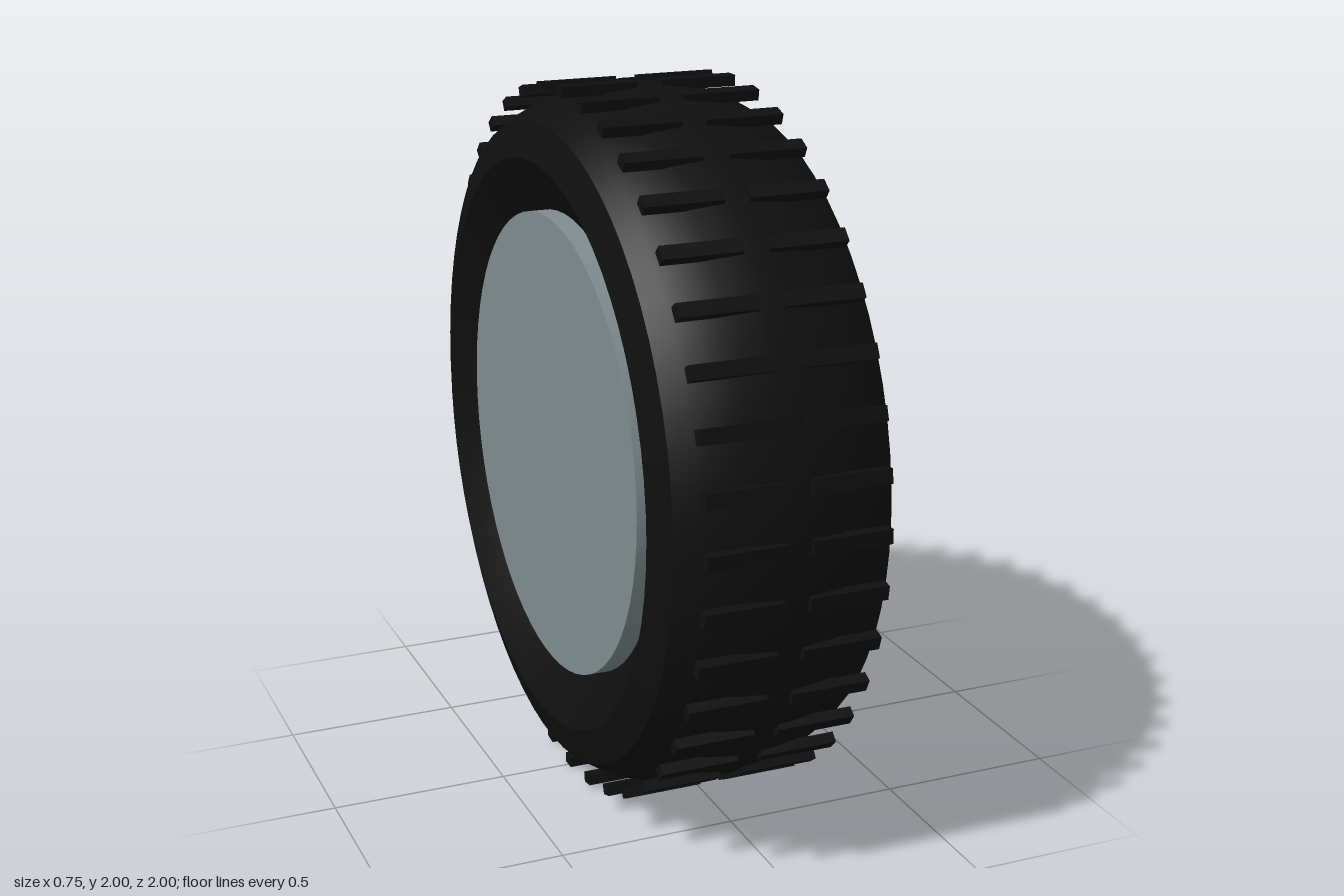
import * as THREE from 'three';
import { toCreasedNormals } from 'three/addons/utils/BufferGeometryUtils.js';

const MID = -0.045; // tyre centre plane along the axle (x)

const paint = (color) => new THREE.MeshStandardMaterial({ color });
const rubber = paint(0x0f0f0f);
const alloy = paint(0x7f8c90);
const backing = paint(0x0d1012);
const steel = paint(0xc8ced0);

// Revolve a [radius, x] profile around the axle
function revolve(name, profile, material) {
  const points = profile.map(([r, x]) => new THREE.Vector2(r, x));
  const geometry = toCreasedNormals(new THREE.LatheGeometry(points, 64), 0.35);
  geometry.rotateZ(-Math.PI / 2);
  const mesh = new THREE.Mesh(geometry, material);
  mesh.name = name;
  return mesh;
}

export function createModel() {
  const wheel = new THREE.Group();
  wheel.name = 'wheel';
  wheel.position.y = 1;

  // Tyre: dished sidewalls, bevelled shoulders and a rounded crown, mirrored about MID
  const half = [
    [0.62, 0.22], [0.65, 0.238], [0.71, 0.28], [0.8, 0.33], [0.9, 0.3],
    [0.932, 0.25], [0.96, 0.19], [0.976, 0.12], [0.985, 0.05], [0.987, 0.015],
  ];
  const tyreProfile = [
    ...half.map(([r, x]) => [r, MID - x]),
    ...half.slice().reverse().map(([r, x]) => [r, MID + x]),
    [0.62, MID - 0.22],
  ];
  wheel.add(revolve('tyre', tyreProfile, rubber));

  // Tread: two rows of 40 bars
  const tread = new THREE.Group();
  tread.name = 'tread';
  const barGeometry = new THREE.BoxGeometry(0.218, 0.03, 0.04);
  for (let i = 0; i < 40; i++) {
    const a = (i / 40) * Math.PI * 2;
    for (const side of [-1, 1]) {
      const bar = new THREE.Mesh(barGeometry, rubber);
      bar.name = 'treadBar';
      bar.position.set(MID + side * 0.144, Math.cos(a) * 0.985, Math.sin(a) * 0.985);
      bar.rotation.x = a;
      tread.add(bar);
    }
  }
  wheel.add(tread);

  // Rim drum, with a dark disc standing slightly proud of its outer face
  wheel.add(revolve('rim', [[0, -0.34], [0.65, -0.34], [0.65, 0.255], [0, 0.255]], alloy));
  wheel.add(revolve('rimDisc', [[0.567, 0.25], [0.567, 0.282], [0, 0.282]], backing));

  // Hub cap
  wheel.add(revolve('hubCap', [
    [0, 0.315], [0.097, 0.315], [0.097, 0.37], [0, 0.37],
  ], alloy));

  // Five tapered spokes, each with a bolt at its inner end
  const spokeGeometry = new THREE.CylinderGeometry(0.043, 0.054, 0.42, 16);
  const boltGeometry = new THREE.SphereGeometry(0.025, 16, 12);
  for (let i = 0; i < 5; i++) {
    const arm = new THREE.Group();
    arm.name = 'spokeArm';
    arm.rotation.x = (i / 5) * Math.PI * 2;
    const spoke = new THREE.Mesh(spokeGeometry, alloy);
    spoke.name = 'spoke';
    spoke.position.set(0.289, 0.352, 0);
    spoke.rotation.z = -0.025;
    const bolt = new THREE.Mesh(boltGeometry, steel);
    bolt.name = 'bolt';
    bolt.position.set(0.32, 0.145, 0);
    arm.add(spoke, bolt);
    wheel.add(arm);
  }

  const model = new THREE.Group();
  model.name = 'spareWheel';
  model.add(wheel);
  return model;
}
